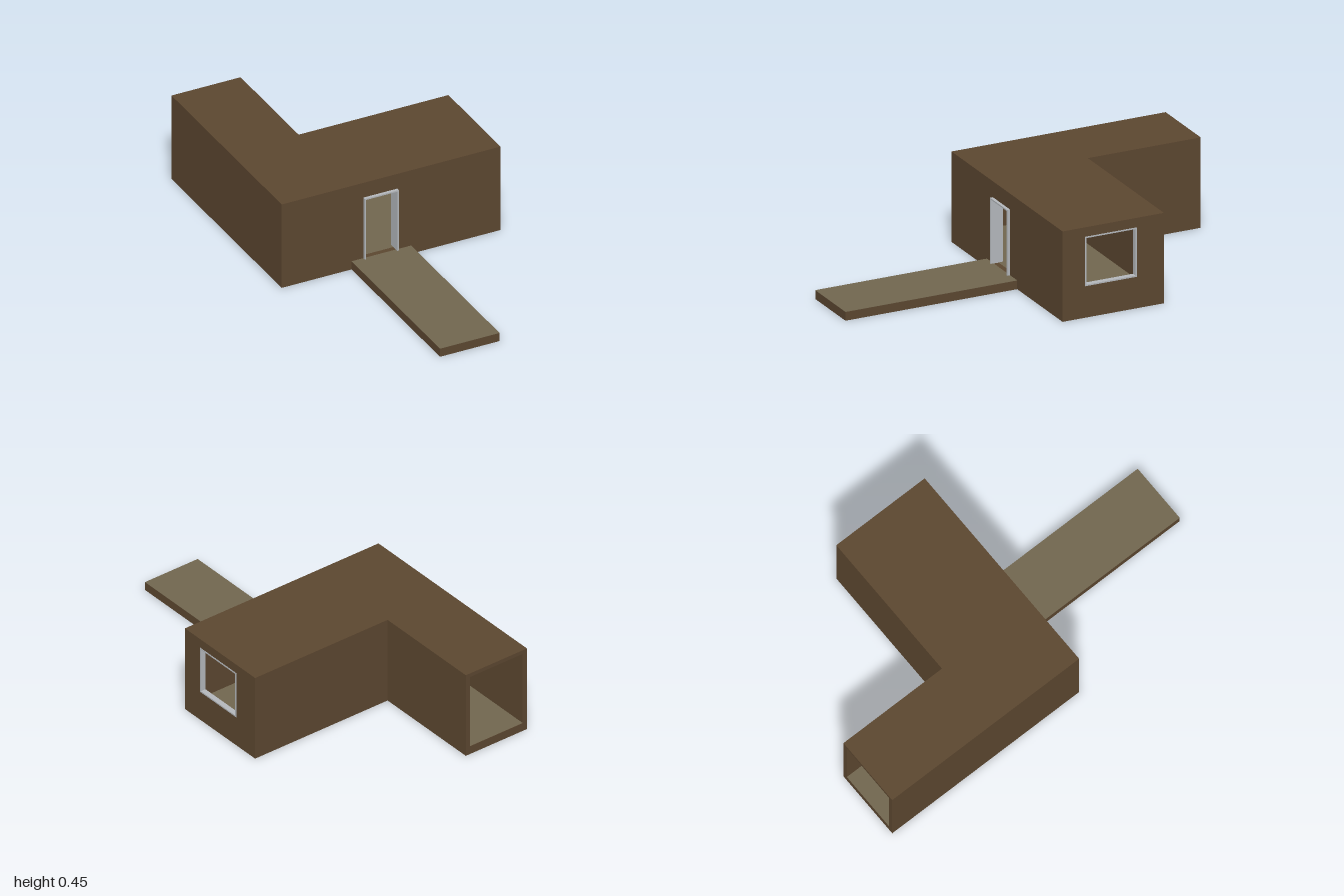
import * as THREE from 'three';

const brown = new THREE.MeshStandardMaterial({ color: 0x5c4730 });
const tan = new THREE.MeshStandardMaterial({ color: 0x71664f, side: THREE.DoubleSide });
const grey = new THREE.MeshStandardMaterial({ color: 0xb4b8bc });

// Main dimensions: outer walls, wing, heights, wall thickness
const X = 0.57, FRONT = 0.11, BACK = -0.415, WING_X = -0.21, WING_BACK = -1;
const H = 0.449, FLOOR = 0.043, ROOF = 0.02, T = 0.025;

const polygon = (pts) => new THREE.Shape(pts.map(([x, y]) => new THREE.Vector2(x, y)));
const rect = (x0, y0, x1, y1) => [[x0, y0], [x1, y0], [x1, y1], [x0, y1]];

export function createModel() {
  const model = new THREE.Group();

  const add = (name, geometry, material) => {
    const mesh = new THREE.Mesh(geometry, material);
    mesh.name = name;
    model.add(mesh);
    return mesh;
  };
  const box = (name, x0, x1, y0, y1, z0, z1, material = brown) =>
    add(name, new THREE.BoxGeometry(x1 - x0, y1 - y0, z1 - z0)
      .translate((x0 + x1) / 2, (y0 + y1) / 2, (z0 + z1) / 2), material);
  const extrude = (shape, depth) =>
    new THREE.ExtrudeGeometry(shape, { depth, bevelEnabled: false });

  // L-shaped plan, optionally inset; shape y is -z
  const plan = (i) => polygon([
    [-X + i, -FRONT + i], [X - i, -FRONT + i], [X - i, -BACK - i],
    [WING_X - i, -BACK - i], [WING_X - i, -WING_BACK], [-X + i, -WING_BACK],
  ]);
  const flat = (geometry, y) => geometry.rotateX(-Math.PI / 2).translate(0, y, 0);

  add('roof', flat(extrude(plan(0), ROOF), H - ROOF), brown);
  add('floorSlab', flat(extrude(plan(T), FLOOR), 0), brown);
  add('floorSurface', flat(new THREE.ShapeGeometry(plan(T)), FLOOR + 0.001), tan);

  // Front wall with a doorway notch down to floor level
  const top = H - ROOF, d0 = -0.145, d1 = 0.032, doorTop = 0.37;
  const front = polygon(rect(-X, 0, X, top));
  front.holes.push(polygon(rect(d0, FLOOR, d1, doorTop)));
  add('frontWall', extrude(front, T).translate(0, 0, FRONT - T), brown);

  // Left wall with a window; shape x is -z
  const w0 = 0.005, w1 = 0.275, sill = 0.157, head = 0.402;
  const side = polygon(rect(-FRONT + T, 0, -BACK, top));
  side.holes.push(polygon(rect(w0, sill, w1, head)));
  add('leftWall', extrude(side, T).rotateY(Math.PI / 2).translate(X - T, 0, 0), brown);

  // Plain walls; the rear end of the wing stays open
  box('rightWall', -X, -X + T, 0, top, WING_BACK, FRONT - T);
  box('backWall', WING_X, X - T, 0, top, BACK, BACK + T);
  box('wingWall', WING_X - T, WING_X, 0, top, WING_BACK, BACK + T);

  // Door frame: two jambs and a head, standing proud of the wall
  const f = 0.007;
  const doorFrame = polygon([
    [d0, FLOOR], [d0 + f, FLOOR], [d0 + f, doorTop - f], [d1 - f, doorTop - f],
    [d1 - f, FLOOR], [d1, FLOOR], [d1, doorTop], [d0, doorTop],
  ]);
  add('doorFrame', extrude(doorFrame, 0.065).translate(0, 0, 0.06), grey);

  // Window frame
  const windowFrame = polygon(rect(w0, sill, w1, head));
  windowFrame.holes.push(polygon(rect(w0 + f, sill + f, w1 - f, head - f)));
  add('windowFrame', extrude(windowFrame, T + 0.002).rotateY(Math.PI / 2).translate(X - T, 0, 0), grey);

  // Entrance path with a paler top
  box('path', -0.206, 0.104, 0, FLOOR, FRONT, 1);
  box('pathSurface', -0.206, 0.104, FLOOR, FLOOR + 0.001, FRONT, 1, tan);

  return model;
}
